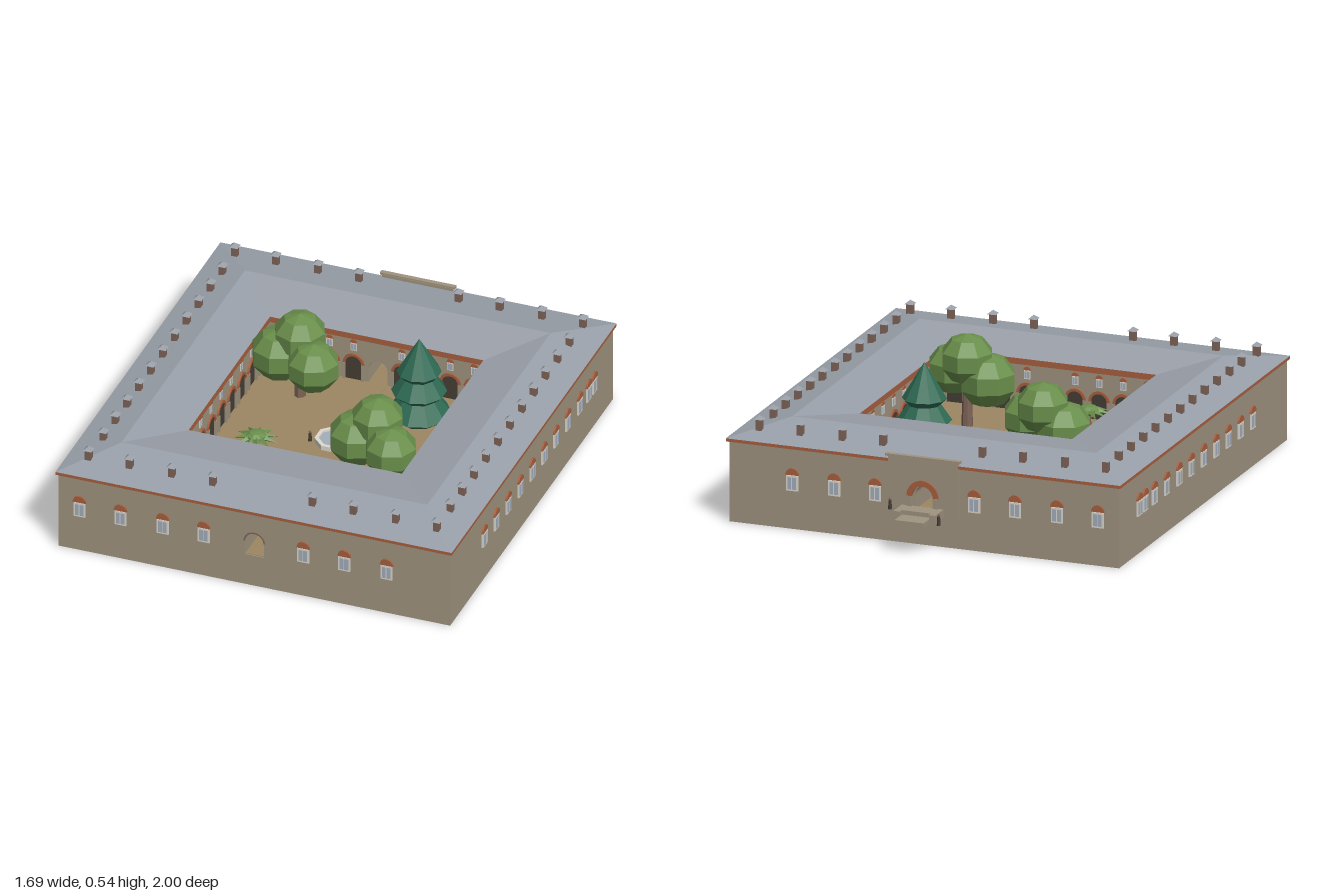
import * as THREE from 'three';

const mat = (name, color, extra = {}) => {
  const m = new THREE.MeshStandardMaterial({ color, flatShading: true, ...extra });
  m.name = name;
  return m;
};
const wall = mat('stoneWall', 0xa09480), roofMat = mat('slateRoof', 0x9aa0a9), rust = mat('rustBrick', 0xa8603f);
const floorMat = mat('sandFloor', 0x9c8763), glass = mat('glassBlue', 0xa3afbd), frame = mat('paleFrame', 0xddd9d0);
const leaf = mat('leafGreen', 0x6a8f4c), pine = mat('pineGreen', 0x2f6b55);
const brown = mat('brown', 0x7d6357), dark = mat('darkShade', 0x463e36);

const FLOOR = 0.14;

function add(parent, name, geo, material, x = 0, y = 0, z = 0) {
  const m = new THREE.Mesh(geo, material);
  m.name = name;
  m.position.set(x, y, z);
  parent.add(m);
  return m;
}
const box = (w, h, d) => new THREE.BoxGeometry(w, h, d);
const extrude = (shape, depth) => new THREE.ExtrudeGeometry(shape, { depth, bevelEnabled: false, curveSegments: 8 });

// Round-headed outline standing on y0, springing at y1, half width r
function archPath(r, y0, y1, PathType = THREE.Shape) {
  const p = new PathType();
  p.moveTo(-r, y0);
  p.lineTo(r, y0);
  p.lineTo(r, y1);
  p.absarc(0, y1, r, 0, Math.PI, false);
  p.lineTo(-r, y0);
  return p;
}
// Half ring over an arch
function archRing(r, R, y) {
  const s = new THREE.Shape();
  s.moveTo(R, y);
  s.absarc(0, y, R, 0, Math.PI, false);
  s.lineTo(-r, y);
  s.absarc(0, y, r, Math.PI, 0, true);
  s.lineTo(R, y);
  return s;
}
// Wall rectangle pierced by an arched doorway
function piercedWall(halfW, y0, y1, r, spring, depth) {
  const s = new THREE.Shape([[-halfW, y0], [halfW, y0], [halfW, y1], [-halfW, y1]].map(p => new THREE.Vector2(...p)));
  s.holes.push(archPath(r, FLOOR, spring, THREE.Path));
  return extrude(s, depth);
}

// Roof ring swept through rectangular loops
function roofGeometry() {
  const loops = [[0.845, -0.835, 1.0, 0.35], [0.652, -0.605, 0.768, 0.397], [0.455, -0.37, 0.535, 0.362],
    [0.455, -0.37, 0.535, 0.337], [0.845, -0.835, 1.0, 0.337]];
  const corners = ([x, zb, zf, y]) => [[x, y, zf], [x, y, zb], [-x, y, zb], [-x, y, zf]];
  const pos = [], geo = new THREE.BufferGeometry();
  loops.forEach((l, k) => {
    const a = corners(l), b = corners(loops[(k + 1) % loops.length]);
    for (let i = 0; i < 4; i++) {
      const j = (i + 1) % 4;
      pos.push(...a[i], ...a[j], ...b[j], ...a[i], ...b[j], ...b[i]);
    }
    geo.addGroup(k * 24, 24, [0, 0, 1, 2, 1][k]);
  });
  geo.setAttribute('position', new THREE.Float32BufferAttribute(pos, 3));
  geo.computeVertexNormals();
  return geo;
}

const headShape = new THREE.Shape().absarc(0, 0, 0.028, 0, Math.PI, false);
const headGeo = extrude(headShape, 0.012);
function windowUnit(parent, x, y, z, ry, scale = 1) {
  const g = new THREE.Group();
  g.name = 'window';
  add(g, 'windowFrame', box(0.05, 0.064, 0.014), frame, 0, 0.032, 0);
  add(g, 'windowPane', box(0.036, 0.05, 0.018), glass, 0, 0.032, 0);
  add(g, 'mullion', box(0.003, 0.05, 0.02), frame, 0, 0.032, 0);
  add(g, 'windowHead', headGeo, rust, 0, 0.066, -0.004);
  g.position.set(x, y, z);
  g.rotation.y = ry;
  g.scale.setScalar(scale);
  parent.add(g);
}

const recessGeo = new THREE.ShapeGeometry(archPath(0.034, 0, 0.075), 8);
const ringGeo = extrude(archRing(0.034, 0.045, 0.075), 0.008);
function arcadeBay(parent, x, z, ry) {
  const g = new THREE.Group();
  g.name = 'arcadeBay';
  add(g, 'archRecess', recessGeo, dark, 0, 0, 0.002);
  add(g, 'archRing', ringGeo, rust);
  for (const s of [-1, 1]) add(g, 'archColumn', box(0.011, 0.075, 0.012), wall, s * 0.0395, 0.0375, 0.005);
  windowUnit(g, 0, 0.135, 0, 0, 0.55);
  g.position.set(x, FLOOR, z);
  g.rotation.y = ry;
  parent.add(g);
}

function chimney(parent, x, z) {
  const g = new THREE.Group();
  g.name = 'chimney';
  add(g, 'chimneyStack', box(0.025, 0.06, 0.025), brown, 0, 0.03, 0);
  const cap = add(g, 'chimneyCap', new THREE.ConeGeometry(0.026, 0.016, 4), roofMat, 0, 0.064, 0);
  cap.rotation.y = Math.PI / 4;
  g.position.set(x, 0.358, z);
  parent.add(g);
}

function roundTree(parent, x, z) {
  const g = new THREE.Group();
  g.name = 'roundTree';
  add(g, 'trunk', new THREE.CylinderGeometry(0.016, 0.024, 0.22, 7), brown, 0, FLOOR + 0.11, 0);
  for (const [bx, by, bz, r] of [[0, 0.42, 0, 0.112], [-0.08, 0.335, 0.02, 0.12], [0.09, 0.345, 0.085, 0.112]]) {
    add(g, 'foliage', new THREE.SphereGeometry(r, 8, 5), leaf, bx, by, bz).scale.y = 0.94;
  }
  g.position.set(x, 0, z);
  parent.add(g);
}

function person(parent, x, y, z) {
  const g = new THREE.Group();
  g.name = 'figure';
  add(g, 'figureBody', new THREE.CylinderGeometry(0.006, 0.008, 0.036, 6), dark, 0, 0.018, 0);
  add(g, 'figureHead', new THREE.SphereGeometry(0.006, 6, 5), brown, 0, 0.042, 0);
  g.position.set(x, y, z);
  parent.add(g);
}

export function createModel() {
  const model = new THREE.Group();
  model.name = 'courtyardBuilding';

  // Four wings around the court, with passages through front and back
  add(model, 'foundation', box(1.66, 0.13, 1.8), wall, 0, 0.065, 0.085);
  add(model, 'frontWing', piercedWall(0.835, 0, 0.34, 0.04, 0.205, 0.44), wall, 0, 0, 0.55);
  add(model, 'backWing', piercedWall(0.835, 0, 0.34, 0.04, 0.205, 0.435), wall, 0, 0, -0.82);
  for (const s of [-1, 1]) add(model, 'sideWing', box(0.365, 0.34, 0.935), wall, s * 0.6525, 0.17, 0.0825);
  add(model, 'courtFloor', box(0.94, 0.01, 0.935), floorMat, 0, 0.136, 0.0825);
  add(model, 'passageFloor', box(0.08, 0.004, 1.8), floorMat, 0, FLOOR, 0.085);
  add(model, 'roof', roofGeometry(), [roofMat, rust, wall]);

  // Outer windows and chimneys
  const xs = [-0.745, -0.57, -0.39, -0.215, 0.21, 0.385, 0.565, 0.74];
  xs.forEach((x, i) => {
    if (i < 7) {
      windowUnit(model, x, 0.16, 0.99, 0);
      windowUnit(model, x, 0.16, -0.82, Math.PI);
    }
    chimney(model, x, 0.89);
    chimney(model, x, -0.735);
  });
  for (const s of [-1, 1]) {
    for (let i = 0; i < 9; i++) windowUnit(model, s * 0.835, 0.16, 0.615 - i * 0.1325, s * Math.PI / 2);
    for (const z of [-0.545, -0.608]) windowUnit(model, s * 0.835, 0.16, z, s * Math.PI / 2);
    for (let i = 0; i < 11; i++) chimney(model, s * 0.74, 0.74 - i * 0.1325);
  }

  // Court arcades
  for (const s of [-1, 1]) {
    for (let i = 1; i <= 4; i++) {
      arcadeBay(model, s * i * 0.103, -0.385, 0);
      arcadeBay(model, s * i * 0.103, 0.55, Math.PI);
    }
    for (let i = 0; i < 8; i++) arcadeBay(model, s * 0.47, 0.0825 + (i - 3.5) * 0.113, -s * Math.PI / 2);
  }

  // Front door trim
  add(model, 'frontDoorTrim', extrude(archRing(0.04, 0.045, 0.205), 0.004), brown, 0, 0, 0.99);

  // Back portal with landing and steps
  add(model, 'portalSlab', piercedWall(0.15, 0.13, 0.365, 0.045, 0.205, 0.016), wall, 0, 0, -0.836);
  add(model, 'portalCoping', box(0.32, 0.01, 0.02), wall, 0, 0.366, -0.832);
  add(model, 'portalArch', extrude(archRing(0.045, 0.068, 0.205), 0.01), rust, 0, 0, -0.844);
  for (const s of [-1, 1]) {
    add(model, 'portalPier', box(0.02, 0.065, 0.012), wall, s * 0.056, 0.1725, -0.84);
    add(model, 'stepParapet', box(0.028, 0.036, 0.09), wall, s * 0.076, 0.145, -0.882);
  }
  add(model, 'landing', box(0.125, 0.02, 0.15), wall, 0, 0.135, -0.909);
  add(model, 'upperStep', box(0.125, 0.018, 0.07), wall, 0, 0.154, -0.87);

  // Octagonal fountain
  const fountain = new THREE.Group();
  fountain.name = 'fountain';
  const octagon = r => Array.from({ length: 8 }, (_, i) => {
    const a = (i + 0.5) * Math.PI / 4;
    return new THREE.Vector2(r * Math.cos(a), r * Math.sin(a));
  });
  const rim = new THREE.Shape(octagon(0.087));
  rim.holes.push(new THREE.Path(octagon(0.07)));
  add(fountain, 'basinRim', extrude(rim, 0.022), frame).rotation.x = -Math.PI / 2;
  add(fountain, 'water', new THREE.CylinderGeometry(0.074, 0.074, 0.014, 8).rotateY(Math.PI / 8), glass, 0, 0.007, 0);
  add(fountain, 'spout', new THREE.CylinderGeometry(0.006, 0.009, 0.03, 8), frame, 0, 0.015, 0);
  fountain.position.set(0, FLOOR, 0.08);
  model.add(fountain);

  // Trees
  roundTree(model, -0.26, -0.195);
  roundTree(model, 0.255, 0.285);
  const conifer = new THREE.Group();
  conifer.name = 'conifer';
  add(conifer, 'trunk', new THREE.CylinderGeometry(0.018, 0.022, 0.1, 7), brown, 0, 0.19, 0);
  for (const [r, y0, h] of [[0.13, 0.2, 0.17], [0.112, 0.3, 0.16], [0.09, 0.39, 0.15]]) {
    add(conifer, 'coniferTier', new THREE.ConeGeometry(r, h, 10), pine, 0, y0 + h / 2, 0);
    add(conifer, 'coniferSkirt', new THREE.CylinderGeometry(r, r * 0.7, 0.03, 10), pine, 0, y0 - 0.015, 0);
  }
  conifer.position.set(0.26, 0, -0.165);
  model.add(conifer);

  // Palm with radiating fronds
  const palm = new THREE.Group();
  palm.name = 'palm';
  add(palm, 'palmTrunk', new THREE.CylinderGeometry(0.01, 0.015, 0.11, 7), brown, 0, 0.055, 0);
  add(palm, 'palmCrown', new THREE.SphereGeometry(0.045, 8, 5), leaf, 0, 0.115, 0).scale.y = 0.5;
  for (let i = 0; i < 11; i++) {
    const frond = new THREE.ConeGeometry(0.016, 0.07, 4).rotateZ(-Math.PI / 2 - 0.2).translate(0.058, 0.108, 0);
    add(palm, 'palmFrond', frond, leaf).rotation.y = i * Math.PI * 2 / 11;
  }
  palm.position.set(-0.25, FLOOR, 0.32);
  model.add(palm);

  // Small standing figures
  for (const [x, z] of [[-0.1, 0.11], [0.105, 0.05], [-0.155, 0.42], [0.165, -0.26]]) person(model, x, FLOOR, z);
  person(model, -0.13, 0.147, -0.992);
  person(model, 0.115, 0.16, -0.9);

  return model;
}
